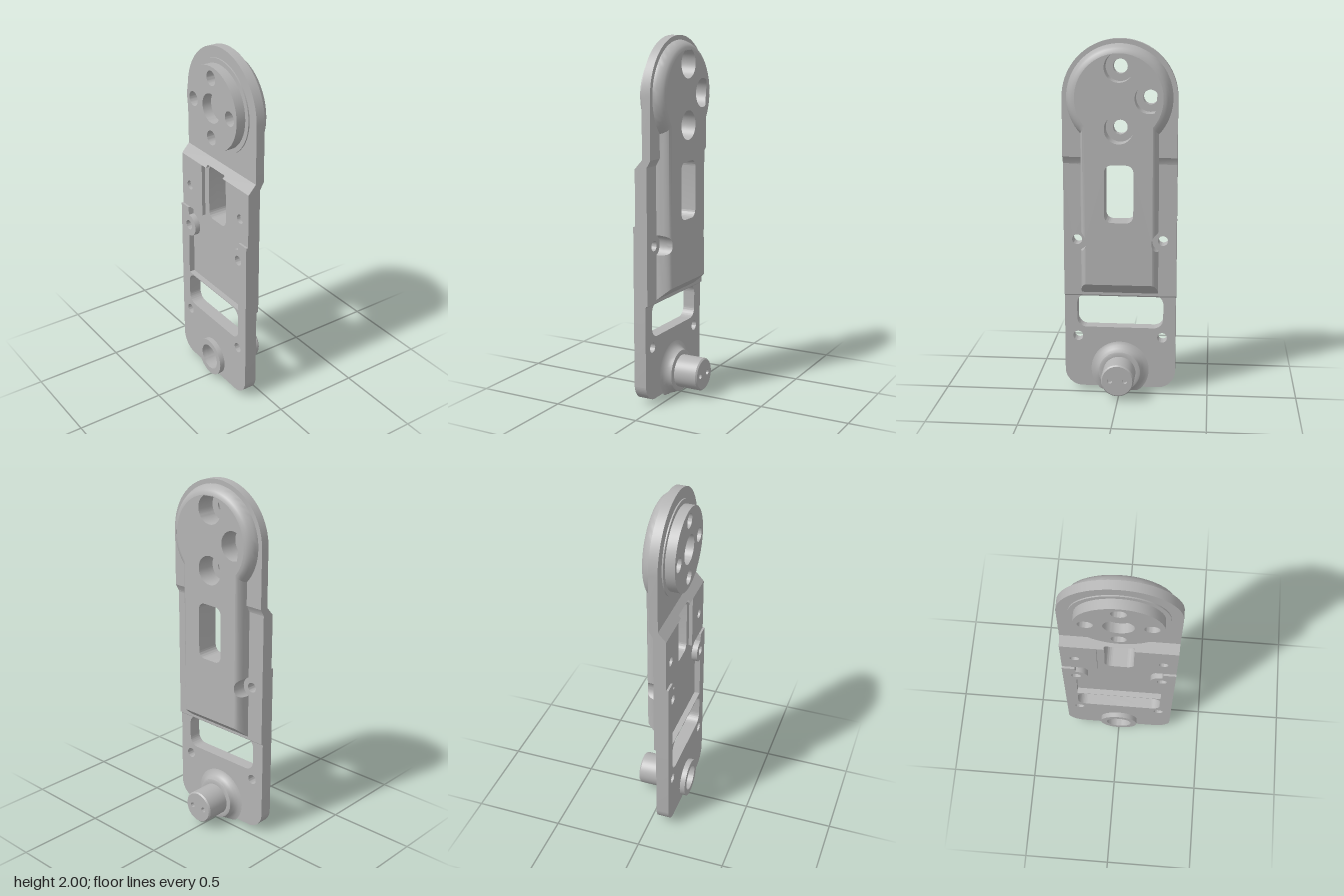
import * as THREE from 'three';
import { toCreasedNormals } from 'three/addons/utils/BufferGeometryUtils.js';

// Shapes are drawn in (u, y), where u = -z, and extruded along x.
const SEG = 24, HEAD_Y = 1.685, PIN_Y = 0.125;

const circle = (u, y, r) => new THREE.Shape().absarc(u, y, r, 0, Math.PI * 2, false);
const poly = pts => new THREE.Shape(pts.map(p => new THREE.Vector2(p[0], p[1])));
const rect = (u0, u1, y0, y1) => poly([[u0, y0], [u1, y0], [u1, y1], [u0, y1]]);

function roundRect(u0, u1, y0, y1, r) {
  const s = new THREE.Shape(), h = Math.PI / 2;
  s.absarc(u1 - r, y0 + r, r, -h, 0, false);
  s.absarc(u1 - r, y1 - r, r, 0, h, false);
  s.absarc(u0 + r, y1 - r, r, h, 2 * h, false);
  s.absarc(u0 + r, y0 + r, r, 2 * h, 3 * h, false);
  s.closePath();
  return s;
}

// Outline of the raised cover, inset by d at height x
function coverOutline(d, x) {
  const R = 0.29 - d, w = 0.215 - 0.6 * d, half = [];
  half.push([w, 0.575 + Math.max(0, x + 0.045) * 0.83]);
  const a = Math.acos((w - 0.24) / 0.06);           // screw scallop in the side
  for (let i = 0; i <= 12; i++) {
    const t = 2 * Math.PI - a + (2 * a - 2 * Math.PI) * i / 12;
    half.push([0.24 + 0.06 * Math.cos(t), 0.89 + 0.06 * Math.sin(t)]);
  }
  const b = -Math.acos(w / R);                      // round head
  for (let i = 0; i < 28; i++) {
    const t = b + (Math.PI / 2 - b) * i / 28;
    half.push([R * Math.cos(t), HEAD_Y + R * Math.sin(t)]);
  }
  return [...half, [0, HEAD_Y + R], ...half.slice().reverse().map(([u, y]) => [-u, y])];
}

// Closed wall through rings of equal point count
function wall(rings) {
  const n = rings[0].pts.length, pos = [], idx = [];
  rings.forEach(r => r.pts.forEach(p => pos.push(p[0], p[1], r.x)));
  for (let k = 0; k < rings.length - 1; k++) for (let j = 0; j < n; j++) {
    const a = k * n + j, b = k * n + (j + 1) % n;
    idx.push(a, b, b + n, a, b + n, a + n);
  }
  const g = new THREE.BufferGeometry();
  g.setAttribute('position', new THREE.Float32BufferAttribute(pos, 3));
  g.setIndex(idx);
  return g;
}

export function createModel() {
  const model = new THREE.Group();
  model.name = 'armPlate';
  const metal = new THREE.MeshStandardMaterial({ color: 0xb4b4b4 });
  metal.name = 'machinedGrey';

  const add = (name, geo, turn = true) => {
    if (turn) geo.rotateY(Math.PI / 2);
    const m = new THREE.Mesh(toCreasedNormals(geo, 0.6), metal);
    m.name = name;
    model.add(m);
    return m;
  };
  const slab = (name, shape, x0, x1, holes = []) => {
    shape.holes.push(...holes);
    const g = new THREE.ExtrudeGeometry(shape, { depth: x1 - x0, bevelEnabled: false, curveSegments: SEG });
    return add(name, g.translate(0, 0, x0));
  };
  const face = (name, shape, x) => add(name, new THREE.ShapeGeometry(shape, SEG).translate(0, 0, x));

  const boltSpots = [[0, 1.85], [0, 1.52], [0.165, HEAD_Y], [-0.165, HEAD_Y]];
  const bolts = r => boltSpots.map(([u, y]) => circle(u, y, r));
  const pair = (y, r) => [circle(-0.24, y, r), circle(0.24, y, r)];
  const slot = () => roundRect(-0.08, 0.08, 1.005, 1.325, 0.04);

  // Upper plate with round top
  const top = new THREE.Shape();
  top.moveTo(-0.315, 1.36);
  top.lineTo(0.315, 1.36);
  top.absarc(0, HEAD_Y, 0.315, 0, Math.PI, false);
  top.closePath();
  slab('headPlate', top, -0.06, -0.01, bolts(0.08));

  // Mounting disc on the back, with bolt holes and a blind centre hole
  slab('discBase', circle(0, HEAD_Y, 0.255), -0.067, -0.06, bolts(0.04));
  slab('mountingDisc', circle(0, HEAD_Y, 0.228), -0.12, -0.067, [...bolts(0.04), circle(0, HEAD_Y, 0.08)]);

  // Sloped step between upper and middle plates
  const step = (name, pts, u0, u1) => {
    const g = new THREE.ExtrudeGeometry(poly(pts), { depth: u1 - u0, bevelEnabled: false });
    add(name, g.translate(0, 0, u0), false);
  };
  const slope = [[-0.105, 1.31], [-0.033, 1.31], [-0.033, 1.32], [-0.01, 1.36], [-0.06, 1.36]];
  step('stepSide', slope, 0.08, 0.315);
  step('stepSide', slope, -0.315, -0.08);
  step('stepCentre', [[-0.0915, 1.325], [-0.03, 1.325], [-0.01, 1.36], [-0.06, 1.36]], -0.08, 0.08);

  // Middle plate, back pads and rails
  slab('middlePlate', rect(-0.315, 0.315, 0.57, 1.33), -0.085, -0.033, [slot(), ...pair(0.89, 0.028)]);
  for (const s of [-1, 1]) {
    const [a, b] = s > 0 ? [0.12, 0.315] : [-0.315, -0.12];
    slab('backPad', rect(a, b, 1.0, 1.31), -0.105, -0.085, [circle(s * 0.24, 1.14, 0.026)]);
    const rail = [[0.315, 0.57], [0.315, 1.0], [0.245, 1.0]];
    for (let i = 0; i <= 12; i++) {
      const t = Math.PI / 2 + Math.PI * i / 12;
      rail.push([0.24 + 0.065 * Math.cos(t), 0.89 + 0.065 * Math.sin(t)]);
    }
    rail.push([0.245, 0.57]);
    slab('backRail', poly(rail.map(([u, y]) => [s * u, y])), -0.117, -0.085, [circle(s * 0.24, 0.89, 0.028)]);
  }

  // Lower plate with wide window
  const low = new THREE.Shape();
  low.moveTo(0.315, 0.575);
  low.lineTo(-0.315, 0.575);
  low.absarc(-0.215, 0.12, 0.1, Math.PI, Math.PI * 1.5, false);
  low.absarc(0.215, 0.12, 0.1, -Math.PI / 2, 0, false);
  low.closePath();
  slab('lowerPlate', low, -0.117, -0.045,
    [roundRect(-0.245, 0.245, 0.375, 0.57, 0.055), ...pair(0.32, 0.028), circle(0, PIN_Y, 0.075)]);
  step('flangeSlope', [[-0.06, 0.56], [-0.045, 0.56], [-0.033, 0.585], [-0.06, 0.585]], -0.315, 0.315);

  // Raised front cover with rounded rim
  const rim = [[0, -0.035], [0, -0.008], [0.006, 0.008], [0.015, 0.024], [0.026, 0.037], [0.038, 0.044], [0.05, 0.047]];
  const rings = rim.map(([d, x]) => ({ x, pts: coverOutline(d, x) }));
  add('coverRim', wall(rings));
  const cover = poly(rings[rings.length - 1].pts);
  cover.holes.push(...bolts(0.08), slot());
  face('coverFace', cover, 0.047);
  for (const h of [...bolts(0.08), slot()]) {
    const pts = h.getPoints(SEG).reverse().map(p => [p.x, p.y]);
    add('coverHoleWall', wall([{ x: -0.035, pts }, { x: 0.047, pts }]));
  }

  // Pin with flared foot, flattened at the ground
  const profile = [[0.125, -0.117], [0.125, -0.045], [0.165, -0.045], [0.145, -0.039], [0.13, -0.025],
    [0.12, -0.008], [0.118, 0.003], [0.11, 0.006], [0.092, 0.006], [0.092, 0.139], [0.085, 0.147]];
  const pin = new THREE.LatheGeometry(profile.map(p => new THREE.Vector2(p[0], p[1])), 48);
  pin.rotateZ(-Math.PI / 2).translate(0, PIN_Y, 0);
  const p = pin.attributes.position;
  for (let i = 0; i < p.count; i++) p.setY(i, Math.max(0, p.getY(i)));
  add('pin', pin, false);
  slab('pinEnd', circle(0, PIN_Y, 0.085), 0.12, 0.147, [circle(-0.042, PIN_Y, 0.015), circle(0.042, PIN_Y, 0.015)]);
  face('pinHoleFloor', circle(0, PIN_Y, 0.085), 0.121);
  slab('boreFloor', circle(0, PIN_Y, 0.1), -0.045, -0.04);
  slab('backCollar', circle(0, PIN_Y, 0.11), -0.147, -0.117, [circle(0, PIN_Y, 0.075)]);

  return model;
}
